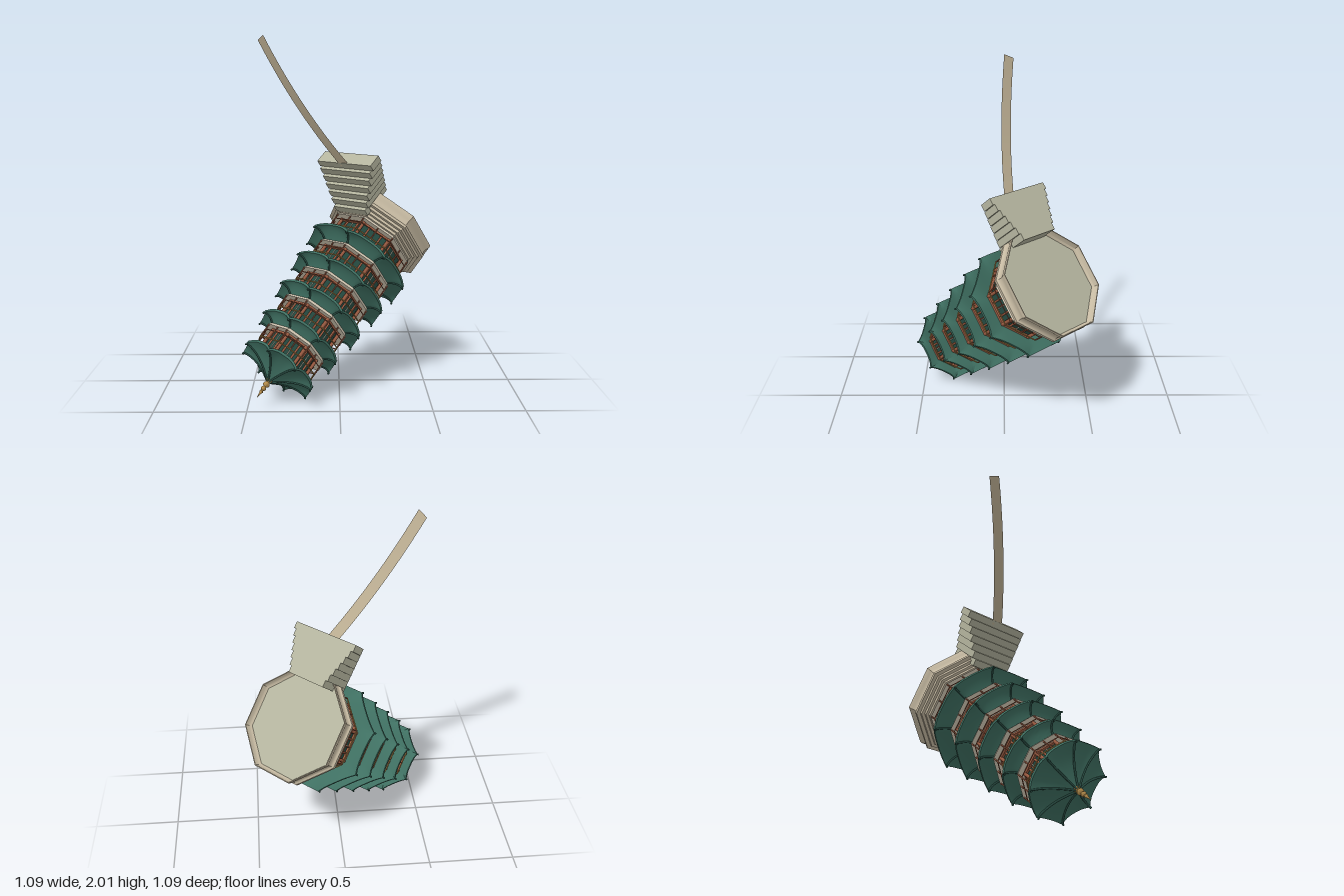
import * as THREE from 'three';
import { toCreasedNormals } from 'three/addons/utils/BufferGeometryUtils.js';

const mat = (color) => new THREE.MeshStandardMaterial({ color, side: THREE.DoubleSide });
const M = {
  roof: mat(0x3f7062), ridge: mat(0x2a5046), wall: mat(0x24483f), wood: mat(0x9c5c42), gold: mat(0xb58d4c),
  cream: mat(0xd6cbb6), stone: mat(0xb4b49e), plinth: mat(0xc6baa2), strap: mat(0xbcae92),
};
const STEP = Math.PI / 4, HALF = Math.PI / 8;

function add(parent, name, geometry, material) {
  const mesh = new THREE.Mesh(geometry, material);
  mesh.name = name;
  parent.add(mesh);
  return mesh;
}

// Point at a radius on an octagon corner (whole i) or between two corners
function octPoint(r, i, h) {
  const k = Math.floor(i), f = i - k;
  const at = (n) => new THREE.Vector3(Math.sin(HALF + n * STEP) * r, h, Math.cos(HALF + n * STEP) * r);
  return at(k).lerp(at(k + 1), f);
}

function octPrism(rTop, rBottom, height, y) {
  const g = new THREE.CylinderGeometry(rTop, rBottom, height, 8);
  g.rotateY(HALF);
  g.translate(0, y + height / 2, 0);
  return toCreasedNormals(g, 0.4);
}

// Round bar between two points
function bar(parent, name, a, b, r, material) {
  const mesh = add(parent, name, new THREE.CylinderGeometry(r, r, a.distanceTo(b), 6), material);
  mesh.position.copy(a).lerp(b, 0.5);
  mesh.quaternion.setFromUnitVectors(new THREE.Vector3(0, 1, 0), b.clone().sub(a).normalize());
}

// Roof surface: t runs from the top (0) to the eave (1), angle runs round the octagon
function roofPoint(o, t, angle) {
  const local = ((angle % STEP) + STEP) % STEP - HALF;
  const k = Math.abs(local) / HALF;
  const oct = Math.cos(HALF) / Math.cos(local);
  const r = (o.rTop + (o.R - o.rTop) * t) * oct;
  const h = o.eave - 0.018 + o.rise * Math.pow(1 - t, 1.6) + 0.026 * Math.pow(k, 3) * t * t;
  return new THREE.Vector3(Math.sin(angle + HALF) * r, h, Math.cos(angle + HALF) * r);
}

function roofGeometry(o) {
  const around = 64, rows = [];
  for (let j = 0; j <= 8; j++) rows.push((a) => roofPoint(o, j / 8, a));
  // Eave thickness and soffit back to the wall
  const soffit = (radius, h) => (a) => {
    const p = roofPoint(o, 1, a), s = radius / o.R;
    return p.set(p.x * s, h, p.z * s);
  };
  rows.push((a) => roofPoint(o, 1, a).add(new THREE.Vector3(0, -0.014, 0)));
  rows.push(soffit((o.R + o.rWall) / 2, o.eave - 0.022));
  rows.push(soffit(o.rWall * 0.9, o.eave - 0.008));
  const pos = [], idx = [];
  rows.forEach((row, j) => {
    for (let i = 0; i < around; i++) {
      pos.push(...row(i / around * Math.PI * 2).toArray());
      if (j === rows.length - 1) continue;
      const a = j * around + i, b = j * around + (i + 1) % around;
      idx.push(a, a + around, b, b, a + around, b + around);
    }
  });
  const g = new THREE.BufferGeometry();
  g.setAttribute('position', new THREE.Float32BufferAttribute(pos, 3));
  g.setIndex(idx);
  return toCreasedNormals(g, 0.7);
}

function buildRoof(parent, o) {
  add(parent, 'roof', roofGeometry(o), M.roof);
  // Corner ridges ending in small upturned horns
  for (let i = 0; i < 8; i++) {
    const pts = [0, 0.25, 0.5, 0.75, 0.98].map((t) => roofPoint(o, t, i * STEP));
    pts.push(roofPoint(o, 1, i * STEP).add(new THREE.Vector3(0, 0.008, 0)));
    add(parent, 'roofRidge', new THREE.TubeGeometry(new THREE.CatmullRomCurve3(pts), 14, 0.006, 5), M.ridge);
  }
}

function buildStorey(parent, rWall, floor, eave) {
  const top = eave - 0.008, core = rWall - 0.016;
  add(parent, 'wall', octPrism(core, core, top - floor + 0.04, floor - 0.04), M.wall);
  add(parent, 'lintel', octPrism(rWall + 0.004, rWall, 0.012, top - 0.014), M.wood);
  add(parent, 'sill', octPrism(rWall, rWall, 0.01, floor), M.wood);
  const rRail = rWall + 0.034, rail = floor + 0.08;
  for (let i = 0; i < 8; i++) {
    bar(parent, 'column', octPoint(rWall - 0.004, i, floor), octPoint(rWall - 0.004, i, top), 0.01, M.wood);
    for (const f of [0.25, 0.75])
      bar(parent, 'doorPost', octPoint(core + 0.003, i + f, floor), octPoint(core + 0.003, i + f, top), 0.006, M.wood);
    bar(parent, 'doorStrip', octPoint(core + 0.002, i + 0.5, floor), octPoint(core + 0.002, i + 0.5, top), 0.0025, M.cream);
    // Railing posts and rails
    for (const f of [0, 0.5])
      bar(parent, 'railPost', octPoint(rRail, i + f, floor), octPoint(rRail, i + f, rail), 0.004, M.wood);
    bar(parent, 'lowerRail', octPoint(rRail, i, floor + 0.03), octPoint(rRail, i + 1, floor + 0.03), 0.003, M.wood);
    bar(parent, 'topRail', octPoint(rRail, i, rail), octPoint(rRail, i + 1, rail), 0.004, M.gold);
  }
}

function lathe(points, segments, start, crease) {
  const g = new THREE.LatheGeometry(points.map(([x, y]) => new THREE.Vector2(x, y)), segments, start);
  g.deleteAttribute('normal');
  return toCreasedNormals(g, crease);
}

function buildTower() {
  const tower = new THREE.Group();
  tower.name = 'tower';

  // Moulded plinth with a recessed underside
  add(tower, 'plinth', lathe([[0.306, 0.042], [0.318, 0.03], [0.324, 0], [0.329, 0], [0.329, 0.018], [0.32, 0.035],
    [0.316, 0.055], [0.32, 0.072], [0.329, 0.08], [0.329, 0.096], [0.305, 0.096], [0.305, 0.112],
    [0.285, 0.112], [0.285, 0.128], [0.268, 0.128], [0.268, 0.144], [0.001, 0.144]], 8, HALF, 0.6), M.plinth);
  add(tower, 'plinthUnderside', octPrism(0.308, 0.308, 0.01, 0.041), M.stone);

  // Five storeys, each with a balcony and a curved roof
  const roofR = [0.337, 0.313, 0.288, 0.262, 0.234];
  roofR.forEach((R, i) => {
    const storey = new THREE.Group();
    storey.name = 'storey' + (i + 1);
    tower.add(storey);
    const eave = 0.325 + 0.198 * i, floor = eave - 0.158, rWall = R * 0.69, last = i === 4;
    add(storey, 'balcony', octPrism(rWall + 0.042, rWall + 0.026, 0.02, floor - 0.02), M.cream);
    buildStorey(storey, rWall, floor, eave);
    buildRoof(storey, { R, rWall, eave, rTop: last ? 0.012 : rWall, rise: last ? 0.1 : 0.042 });
  });

  // Beaded spire
  add(tower, 'spire', lathe([[0.02, 1.18], [0.022, 1.195], [0.011, 1.205], [0.019, 1.216], [0.019, 1.224], [0.009, 1.234],
    [0.015, 1.243], [0.015, 1.249], [0.007, 1.258], [0.011, 1.266], [0.006, 1.276], [0.001, 1.308]], 12, 0, 1), M.gold);

  // Stepped bracket on the upper edge of the plinth
  const bracket = new THREE.Group();
  bracket.name = 'steppedBracket';
  const layers = 7, thick = 0.278 / layers;
  for (let i = 0; i < layers; i++) {
    const f = i / (layers - 1), depth = 0.085 + 0.128 * f;
    const g = new THREE.BoxGeometry(0.424 - 0.176 * f, depth, thick);
    add(bracket, 'bracketStep', g, M.stone).position.set(0, -0.066 + depth / 2, -0.53 + thick * (i + 0.5));
  }
  tower.add(bracket);

  // Tip the tower over so the spire points down and forward
  const tilt = THREE.MathUtils.degToRad(39), s = Math.SQRT1_2;
  const x = new THREE.Vector3(s, 0, s);
  const y = new THREE.Vector3(-Math.cos(tilt) * s, -Math.sin(tilt), Math.cos(tilt) * s);
  const z = new THREE.Vector3().crossVectors(x, y);
  tower.quaternion.setFromRotationMatrix(new THREE.Matrix4().makeBasis(x, y, z));
  tower.position.set(0.27, 0.877, -0.27);
  return tower;
}

// Thin curved strap rising from the bracket
function strapGeometry() {
  const curve = new THREE.QuadraticBezierCurve3(new THREE.Vector3(0.03, 1.27, -0.028),
    new THREE.Vector3(-0.235, 1.585, 0.006), new THREE.Vector3(-0.441, 1.986, -0.028));
  const half = new THREE.Vector3(0.017, 0.013, 0.027), pos = [], idx = [], n = 16;
  for (let i = 0; i <= n; i++) {
    const p = curve.getPoint(i / n);
    pos.push(...p.clone().sub(half).toArray(), ...p.clone().add(half).toArray());
    if (i < n) idx.push(2 * i, 2 * i + 1, 2 * i + 2, 2 * i + 1, 2 * i + 3, 2 * i + 2);
  }
  const g = new THREE.BufferGeometry();
  g.setAttribute('position', new THREE.Float32BufferAttribute(pos, 3));
  g.setIndex(idx);
  g.computeVertexNormals();
  return g;
}

export function createModel() {
  const model = new THREE.Group();
  model.name = 'hangingPagoda';
  model.add(buildTower());
  add(model, 'strap', strapGeometry(), M.strap);
  return model;
}
